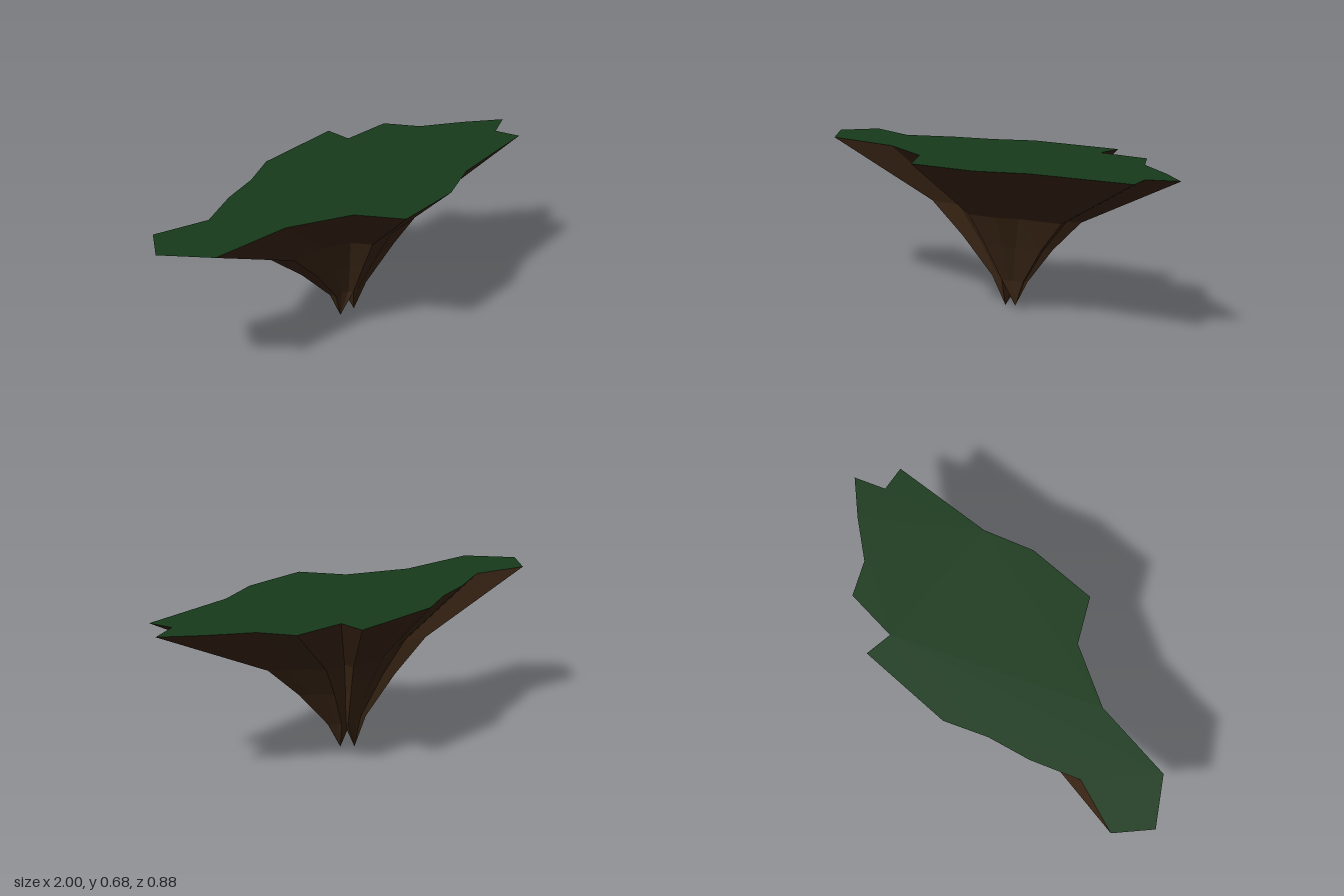
import * as THREE from 'three';

// Island outline as [x, z], starting at the -x end and running along the back
const OUTLINE = [
  [-1, 0], [-0.9, -0.15], [-0.655, -0.102], [-0.46, -0.21], [-0.28, -0.28],
  [-0.11, -0.38], [0.32, -0.445], [0.325, -0.32], [0.565, -0.335], [0.66, -0.2],
  [0.84, -0.1], [1, 0.005], [0.875, 0.075], [0.91, 0.185], [0.455, 0.285],
  [0.25, 0.39], [-0.065, 0.44], [-0.195, 0.265], [-0.475, 0.165], [-0.845, 0.175],
];
const TOP = 0.68;
const BACK_SEAM = 7, FRONT_SEAM = 16;

// Each level is the outline shrunk and shifted
const LEVELS = [
  { y: TOP, sx: 1, sz: 1, x: 0, z: 0 },
  { y: 0.437, sx: 0.435, sz: 0.44, x: 0.035, z: -0.023 },
  { y: 0.295, sx: 0.265, sz: 0.275, x: 0.045, z: -0.028 },
  { y: 0.13, sx: 0.105, sz: 0.105, x: 0.055, z: -0.036 },
];

function createRock() {
  const rings = LEVELS.map((l) =>
    OUTLINE.map(([x, z]) => [l.x + x * l.sx, l.y, l.z + z * l.sz]));
  const n = OUTLINE.length;
  const positions = [];
  const tri = (a, b, c) => positions.push(...a, ...b, ...c);

  // Sloping walls between levels
  for (let r = 0; r < rings.length - 1; r++) {
    for (let i = 0; i < n; i++) {
      const j = (i + 1) % n;
      const [up, low] = [rings[r], rings[r + 1]];
      tri(low[i], up[i], up[j]);
      tri(low[i], up[j], low[j]);
    }
  }

  // Two pointed roots meeting at a raised notch
  const last = rings[rings.length - 1];
  const notch = [0.055, 0.08, -0.037];
  const root = (tip, from, to) => {
    for (let i = from; i !== to; i = (i + 1) % n) tri(tip, last[i], last[(i + 1) % n]);
    tri(tip, last[to], notch);
    tri(tip, notch, last[from]);
  };
  root([0.09, 0.012, -0.032], BACK_SEAM, FRONT_SEAM);
  root([0.02, 0, -0.045], FRONT_SEAM, BACK_SEAM);

  const geometry = new THREE.BufferGeometry();
  geometry.setAttribute('position', new THREE.Float32BufferAttribute(positions, 3));
  geometry.computeVertexNormals();
  const rock = new THREE.Mesh(geometry,
    new THREE.MeshStandardMaterial({ color: 0x3d2817, flatShading: true }));
  rock.name = 'rockUnderside';
  return rock;
}

function createGrass() {
  const shape = new THREE.Shape(OUTLINE.map(([x, z]) => new THREE.Vector2(x, -z)));
  const geometry = new THREE.ShapeGeometry(shape);
  geometry.rotateX(-Math.PI / 2);
  geometry.translate(0, TOP, 0);
  const grass = new THREE.Mesh(geometry,
    new THREE.MeshStandardMaterial({ color: 0x173a1a, flatShading: true }));
  grass.name = 'grassTop';
  return grass;
}

export function createModel() {
  const island = new THREE.Group();
  island.name = 'floatingIsland';
  island.add(createRock(), createGrass());
  return island;
}
